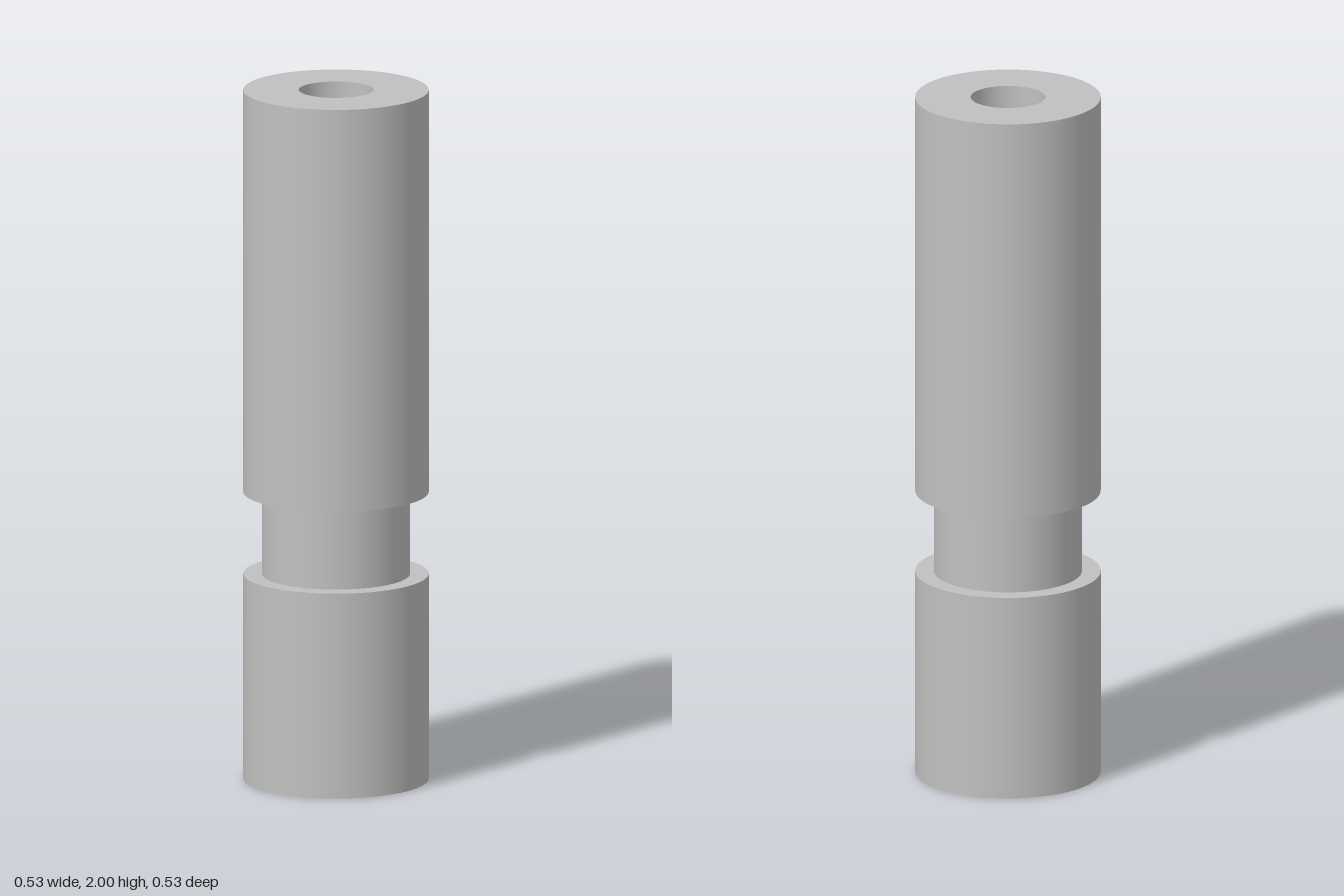
import * as THREE from 'three';
import { mergeGeometries } from 'three/addons/utils/BufferGeometryUtils.js';

const OUTER = 0.263, NECK = 0.21, BORE = 0.106;
const GROOVE_LOW = 0.595, GROOVE_HIGH = 0.833, HEIGHT = 2, BORE_DEPTH = 0.5;

// Revolves each profile segment on its own, so round walls stay smooth and rims stay sharp.
function turned(name, profile, material) {
  const points = profile.map(([r, y]) => new THREE.Vector2(r, y));
  const bands = points.slice(1).map((p, i) => new THREE.LatheGeometry([points[i], p], 96));
  const mesh = new THREE.Mesh(mergeGeometries(bands), material);
  mesh.name = name;
  return mesh;
}

export function createModel() {
  const group = new THREE.Group();
  group.name = 'groovedStandoff';
  const steel = new THREE.MeshStandardMaterial({ color: 0xc0c0c0 });
  steel.name = 'steel grey';

  group.add(
    // Lower barrel with its bottom face and groove shoulder
    turned('lowerBarrel', [[BORE, 0], [OUTER, 0], [OUTER, GROOVE_LOW], [NECK, GROOVE_LOW]], steel),
    // Narrow neck between the barrels
    turned('neck', [[NECK, GROOVE_LOW], [NECK, GROOVE_HIGH]], steel),
    // Upper barrel with its groove shoulder and top face
    turned('upperBarrel', [[NECK, GROOVE_HIGH], [OUTER, GROOVE_HIGH], [OUTER, HEIGHT], [BORE, HEIGHT]], steel),
    // Blind holes in both ends
    turned('topBore', [[BORE, HEIGHT], [BORE, HEIGHT - BORE_DEPTH], [0, HEIGHT - BORE_DEPTH]], steel),
    turned('bottomBore', [[0, BORE_DEPTH], [BORE, BORE_DEPTH], [BORE, 0]], steel),
  );
  return group;
}
